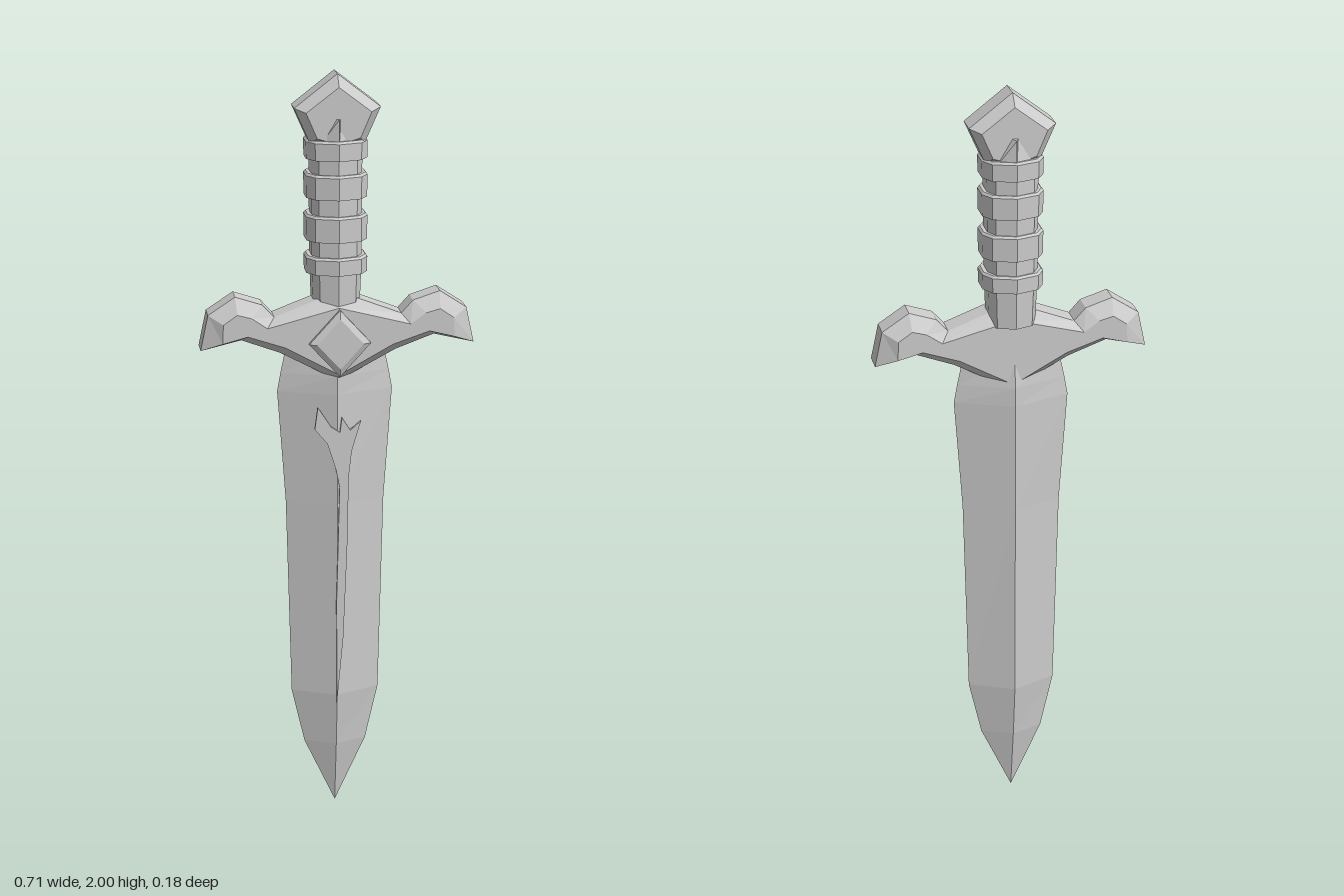
import * as THREE from 'three';

const steel = new THREE.MeshStandardMaterial({ color: 0xcccccc });
steel.name = 'steelGrey';

// Faceted solid through matching counter-clockwise outlines; layers are [height, outline]
function loft(layers) {
  const pos = [];
  const put = (h, p) => pos.push(p[0], p[1], h);
  for (let k = 0; k < layers.length - 1; k++) {
    const [ha, a] = layers[k], [hb, b] = layers[k + 1];
    for (let i = 0; i < a.length; i++) {
      const j = (i + 1) % a.length;
      put(ha, a[i]); put(ha, a[j]); put(hb, b[j]);
      put(ha, a[i]); put(hb, b[j]); put(hb, b[i]);
    }
  }
  const cap = ([h, ring], flip) => {
    const pts = ring.map(p => new THREE.Vector2(p[0], p[1]));
    for (const f of THREE.ShapeUtils.triangulateShape(pts, [])) {
      for (const i of flip ? [f[2], f[1], f[0]] : f) put(h, ring[i]);
    }
  };
  cap(layers[0], true);
  cap(layers[layers.length - 1], false);
  const g = new THREE.BufferGeometry();
  g.setAttribute('position', new THREE.Float32BufferAttribute(pos, 3));
  g.computeVertexNormals();
  return g;
}

// Mirrors a right half (bottom centre up to top centre) into a full outline
const mirror = half => [...half, ...half.slice(1, -1).reverse().map(([x, y]) => [-x, y])];

export function createModel() {
  const model = new THREE.Group();
  model.name = 'dagger';
  const add = (name, geometry) => {
    const mesh = new THREE.Mesh(geometry, steel);
    mesh.name = name;
    model.add(mesh);
    return mesh;
  };

  // Blade: diamond sections, [height, half width, half thickness]
  const bladeSections = [
    [0, 0, 0], [0.18, 0.083, 0.033], [0.33, 0.117, 0.053], [0.87, 0.13, 0.056],
    [1.17, 0.151, 0.058], [1.22, 0.142, 0.057], [1.30, 0.125, 0.046],
  ];
  const blade = loft(bladeSections.map(([y, w, t]) => [y, [[w, 0], [0, t], [-w, 0], [0, -t]]]));
  blade.rotateX(-Math.PI / 2).translate(-0.003, 0, -0.007);
  add('blade', blade);

  // Thin sprig ornament along the front ridge
  const sprig = new THREE.Shape([
    [-0.005, 0.31], [0.012, 0.5], [0.022, 0.75], [0.026, 0.95], [0.034, 1.02], [0.058, 1.10],
    [0.03, 1.075], [0.008, 1.11], [0.003, 1.07], [-0.02, 1.085], [-0.055, 1.14], [-0.063, 1.08],
    [-0.03, 1.04], [-0.008, 0.97], [0.002, 0.92], [-0.006, 0.6],
  ].map(p => new THREE.Vector2(...p)));
  const sprigGeo = new THREE.ExtrudeGeometry(sprig, { depth: 0.009, bevelEnabled: false });
  add('bladeSprig', sprigGeo.translate(0, 0, 0.046));

  // Crossguard: winged outline with bevelled front and back
  const guardOuter = mirror([
    [0, 1.205], [0.15, 1.285], [0.25, 1.322], [0.355, 1.297], [0.335, 1.39],
    [0.265, 1.436], [0.195, 1.413], [0.165, 1.38], [0, 1.443],
  ]);
  const guardInner = mirror([
    [0, 1.228], [0.14, 1.305], [0.235, 1.337], [0.30, 1.32], [0.298, 1.37],
    [0.262, 1.395], [0.225, 1.385], [0.185, 1.357], [0, 1.405],
  ]);
  add('crossguard', loft([
    [-0.055, guardInner], [-0.027, guardOuter], [0.035, guardOuter], [0.063, guardInner],
  ]));

  // Diamond stud on the guard
  const diamond = s => [[0.08 * s, 1.315], [0, 1.315 + 0.088 * s], [-0.08 * s, 1.315], [0, 1.315 - 0.088 * s]];
  add('guardStud', loft([
    [0.055, diamond(0.9)], [0.069, diamond(1)], [0.079, diamond(1)], [0.088, diamond(0.75)],
  ]));

  // Grip: ten-sided ridged handle whose top runs into the pommel
  const gripRing = (grow, s = 1) => mirror([
    [0, -0.074], [0.048, -0.056], [0.064, -0.025], [0.064, 0.025], [0.048, 0.056], [0, 0.074],
  ]).map(([x, y]) => [x * s * (1 + grow / 0.064), y * (1 + grow / 0.074)]);
  const upright = layers => loft(layers).rotateX(-Math.PI / 2).translate(-0.001, 0, -0.01);
  add('grip', upright([
    [1.39, gripRing(-0.004)], [1.50, gripRing(0)], [1.82, gripRing(0.002)], [1.89, gripRing(0.002, 0.15)],
  ]));

  // Raised wrap bands
  [[1.49, 1.535], [1.575, 1.642], [1.685, 1.748], [1.785, 1.835]].forEach(([low, high], i) => {
    add('gripBand' + (i + 1), upright([
      [low, gripRing(0.014)], [high - 0.006, gripRing(0.015)], [high, gripRing(0.010)],
    ])).scale.z = 0.93;
  });

  // Pommel: bevelled pentagon
  const pommelOuter = mirror([[0, 1.80], [0.07, 1.825], [0.11, 1.915], [0, 2]]);
  const pommelInner = mirror([[0, 1.825], [0.055, 1.842], [0.083, 1.907], [0, 1.97]]);
  add('pommel', loft([
    [-0.068, pommelInner], [-0.04, pommelOuter], [0.026, pommelOuter], [0.055, pommelInner],
  ]));

  return model;
}
